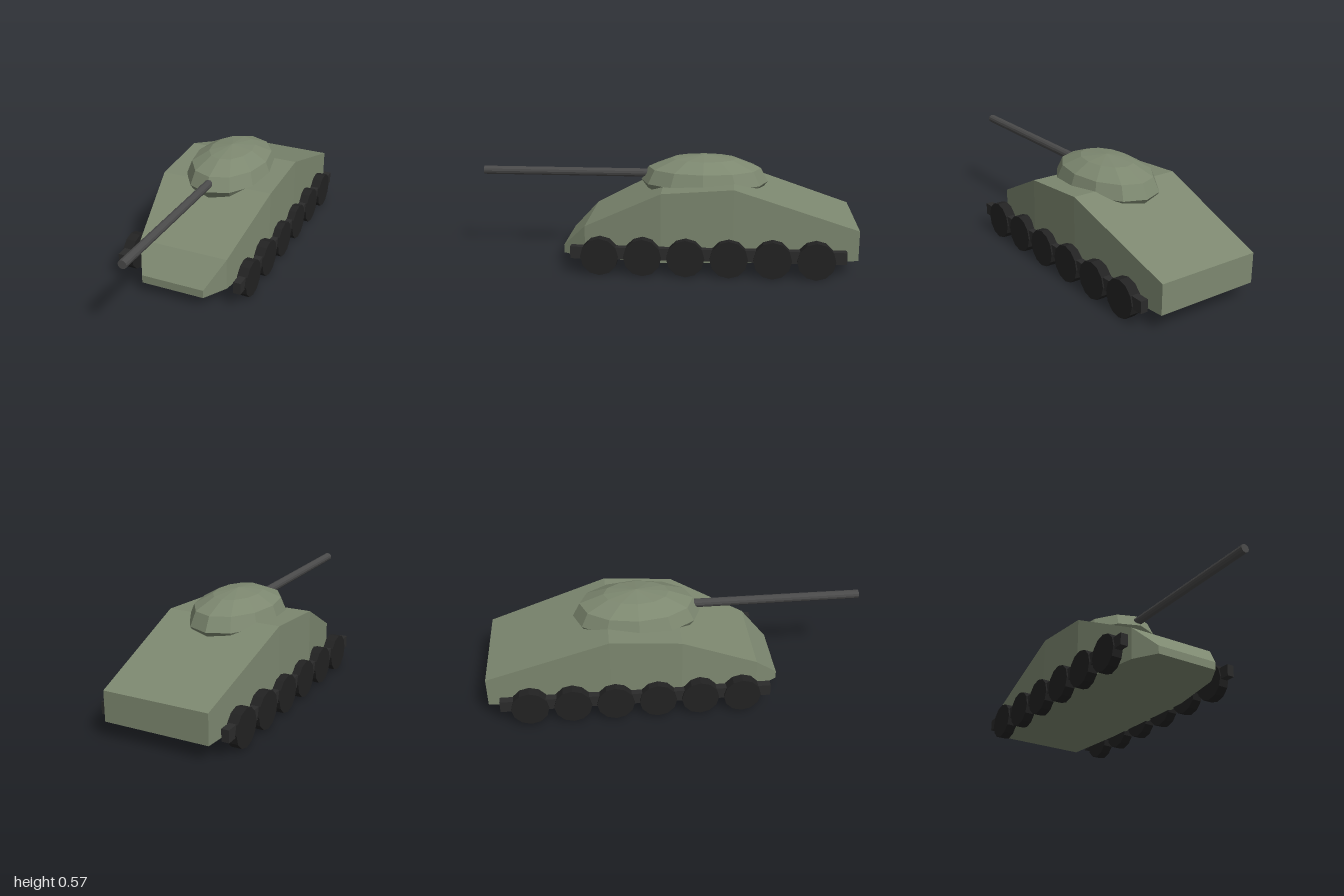
import * as THREE from 'three';

const paint = (color) => new THREE.MeshStandardMaterial({ color, flatShading: true });

function addMesh(parent, name, geometry, material, x = 0, y = 0, z = 0) {
  const mesh = new THREE.Mesh(geometry, material);
  mesh.name = name;
  mesh.position.set(x, y, z);
  parent.add(mesh);
  return mesh;
}

// Closed body lofted through rectangular sections, listed front to back
function loftGeometry(sections) {
  const positions = [];
  const index = [];
  for (const [z, half, bottom, top] of sections) {
    positions.push(-half, bottom, z, half, bottom, z, half, top, z, -half, top, z);
  }
  for (let s = 0; s < sections.length - 1; s++) {
    for (let k = 0; k < 4; k++) {
      const a = s * 4 + k;
      const b = s * 4 + ((k + 1) % 4);
      index.push(a, a + 4, b + 4, a, b + 4, b);
    }
  }
  const e = (sections.length - 1) * 4;
  index.push(0, 1, 2, 0, 2, 3, e, e + 2, e + 1, e, e + 3, e + 2);
  const geometry = new THREE.BufferGeometry();
  geometry.setAttribute('position', new THREE.Float32BufferAttribute(positions, 3));
  geometry.setIndex(index);
  const flat = geometry.toNonIndexed();
  flat.computeVertexNormals();
  return flat;
}

export function createModel() {
  const model = new THREE.Group();
  model.name = 'tank';
  const green = paint(0x7d8870);
  const black = paint(0x222222);
  const trackGrey = paint(0x2b2b2b);
  const steel = paint(0x4a4a4a);

  // Hull: z, half width, bottom, top
  addMesh(model, 'hull', loftGeometry([
    [0.54, 0.173, 0.057, 0.1],
    [0.415, 0.245, 0.058, 0.228],
    [0.01, 0.313, 0.06, 0.427],
    [-0.36, 0.313, 0.068, 0.455],
    [-1, 0.28, 0.085, 0.243],
  ]), green);

  // Turret: twelve-sided dome, stretched lengthwise
  const profile = [
    [0, 0.36], [0.193, 0.36], [0.226, 0.427], [0.2, 0.5], [0.115, 0.55], [0, 0.57],
  ].map(([r, y]) => new THREE.Vector2(r, y));
  const turret = new THREE.LatheGeometry(profile, 12);
  turret.scale(1, 1, 1.5);
  addMesh(model, 'turret', turret, green, 0, 0, -0.2);

  // Gun barrel
  const barrel = new THREE.CylinderGeometry(0.023, 0.023, 1, 12);
  barrel.rotateX(Math.PI / 2);
  addMesh(model, 'gunBarrel', barrel, steel, 0, 0.463, 0.5);

  // Running gear on both sides
  const wheel = new THREE.CylinderGeometry(0.098, 0.098, 0.055, 12);
  wheel.rotateZ(Math.PI / 2);
  const bar = new THREE.BoxGeometry(0.04, 0.063, 1.41);
  for (const side of [1, -1]) {
    const gear = new THREE.Group();
    gear.name = side > 0 ? 'leftRunningGear' : 'rightRunningGear';
    addMesh(gear, 'trackBar', bar, trackGrey, side * 0.327, 0.117, -0.23);
    for (let i = 0; i < 6; i++) {
      addMesh(gear, 'roadWheel' + (i + 1), wheel, black, side * 0.3275, 0.098, 0.325 - i * 0.2215);
    }
    model.add(gear);
  }
  return model;
}
